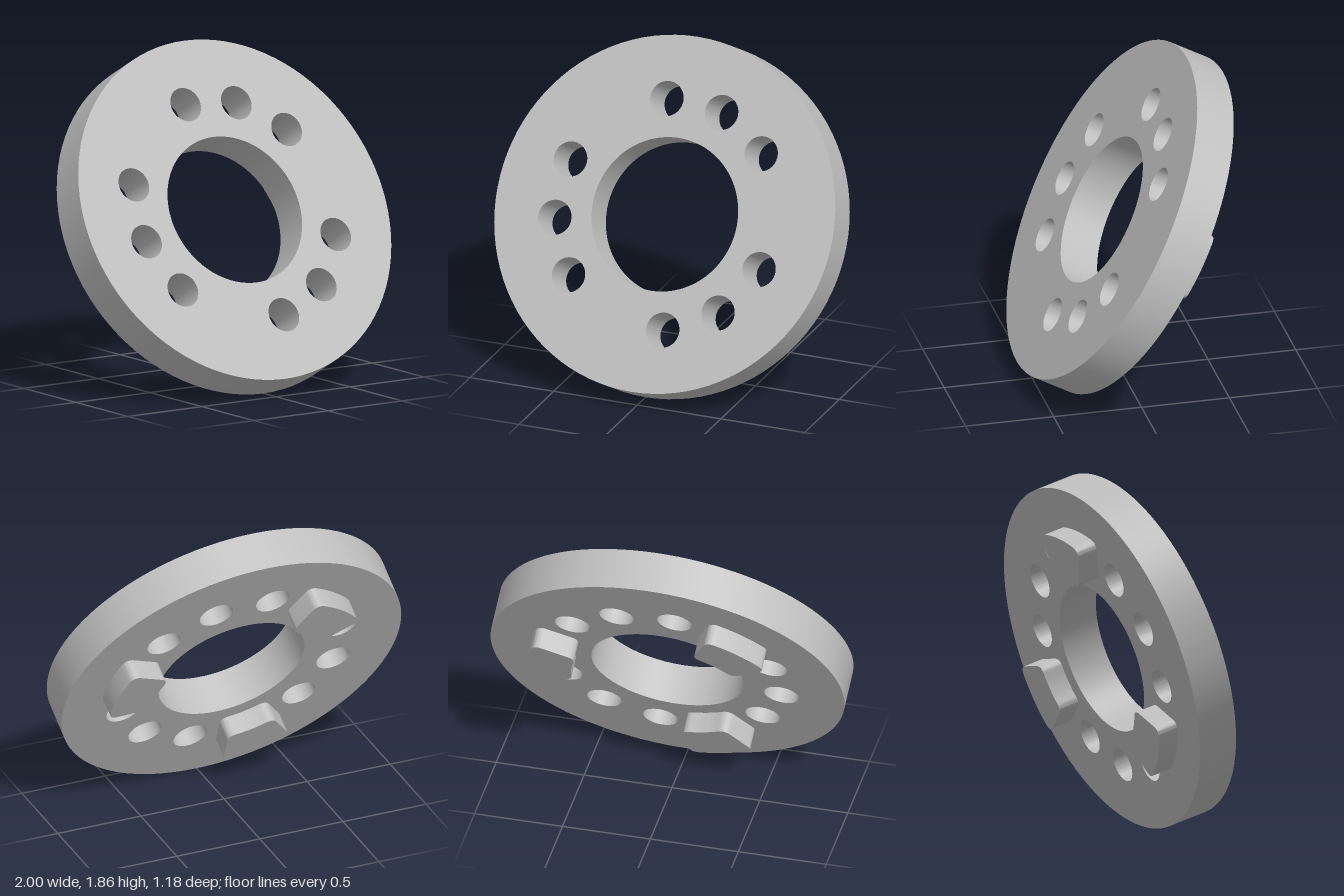
import * as THREE from 'three';
import { toCreasedNormals } from 'three/addons/utils/BufferGeometryUtils.js';

const THICK = 0.237, TAB_DEPTH = 0.122, TILT = THREE.MathUtils.degToRad(29);
const PITCH_R = 0.645, HOLE_R = 0.098, BORE_R = 0.43;
const rad = THREE.MathUtils.degToRad;

function extrude(shape, depth, curveSegments) {
  const geo = new THREE.ExtrudeGeometry(shape, { depth, bevelEnabled: false, curveSegments });
  return toCreasedNormals(geo, rad(35));
}

// Round hole path
function hole(x, y, r) {
  const path = new THREE.Path();
  path.absarc(x, y, r, 0, Math.PI * 2, true);
  return path;
}

// Ring sector with softened corners, centred on angle 0
function tabShape(r1, r2, half, f) {
  const p = (r, a) => [r * Math.cos(a), r * Math.sin(a)];
  const a1 = half - f / r1, a2 = half - f / r2;
  const s = new THREE.Shape();
  s.absarc(0, 0, r2, -a2, a2, false);
  s.quadraticCurveTo(...p(r2, half), ...p(r2 - f, half));
  s.lineTo(...p(r1 + f, half));
  s.quadraticCurveTo(...p(r1, half), ...p(r1, a1));
  s.absarc(0, 0, r1, a1, -a1, true);
  s.quadraticCurveTo(...p(r1, -half), ...p(r1 + f, -half));
  s.lineTo(...p(r2 - f, -half));
  s.quadraticCurveTo(...p(r2, -half), ...p(r2, -a2));
  return s;
}

export function createModel() {
  const grey = new THREE.MeshStandardMaterial({ color: 0xbfbfbf });
  grey.name = 'light grey';

  const model = new THREE.Group();
  model.name = 'couplingDisc';
  const tilted = new THREE.Group();
  tilted.name = 'tiltedDisc';
  tilted.rotation.x = -TILT;
  tilted.position.y = Math.cos(TILT) + Math.sin(TILT) * THICK / 2;
  model.add(tilted);

  // Disc with a central bore and three groups of three holes
  const disc = new THREE.Shape();
  disc.absarc(0, 0, 1, 0, Math.PI * 2, false);
  disc.holes.push(hole(0, 0, BORE_R));
  const tabAngles = [10.3, 130.3, 250.3];
  for (const tab of tabAngles) {
    for (const step of [30, 60, 90]) {
      const a = rad(tab + step);
      disc.holes.push(hole(PITCH_R * Math.cos(a), PITCH_R * Math.sin(a), HOLE_R));
    }
  }
  const plate = new THREE.Mesh(extrude(disc, THICK, 48), grey);
  plate.name = 'plate';
  plate.position.z = -THICK / 2;
  tilted.add(plate);

  // Three driving tabs on the back, between the hole groups
  const tabGeo = extrude(tabShape(0.52, 0.77, rad(15), 0.05), TAB_DEPTH, 10);
  tabAngles.forEach((angle, i) => {
    const tab = new THREE.Mesh(tabGeo, grey);
    tab.name = `backTab${i + 1}`;
    tab.rotation.z = rad(angle);
    tab.position.z = -THICK / 2 - TAB_DEPTH;
    tilted.add(tab);
  });
  return model;
}
